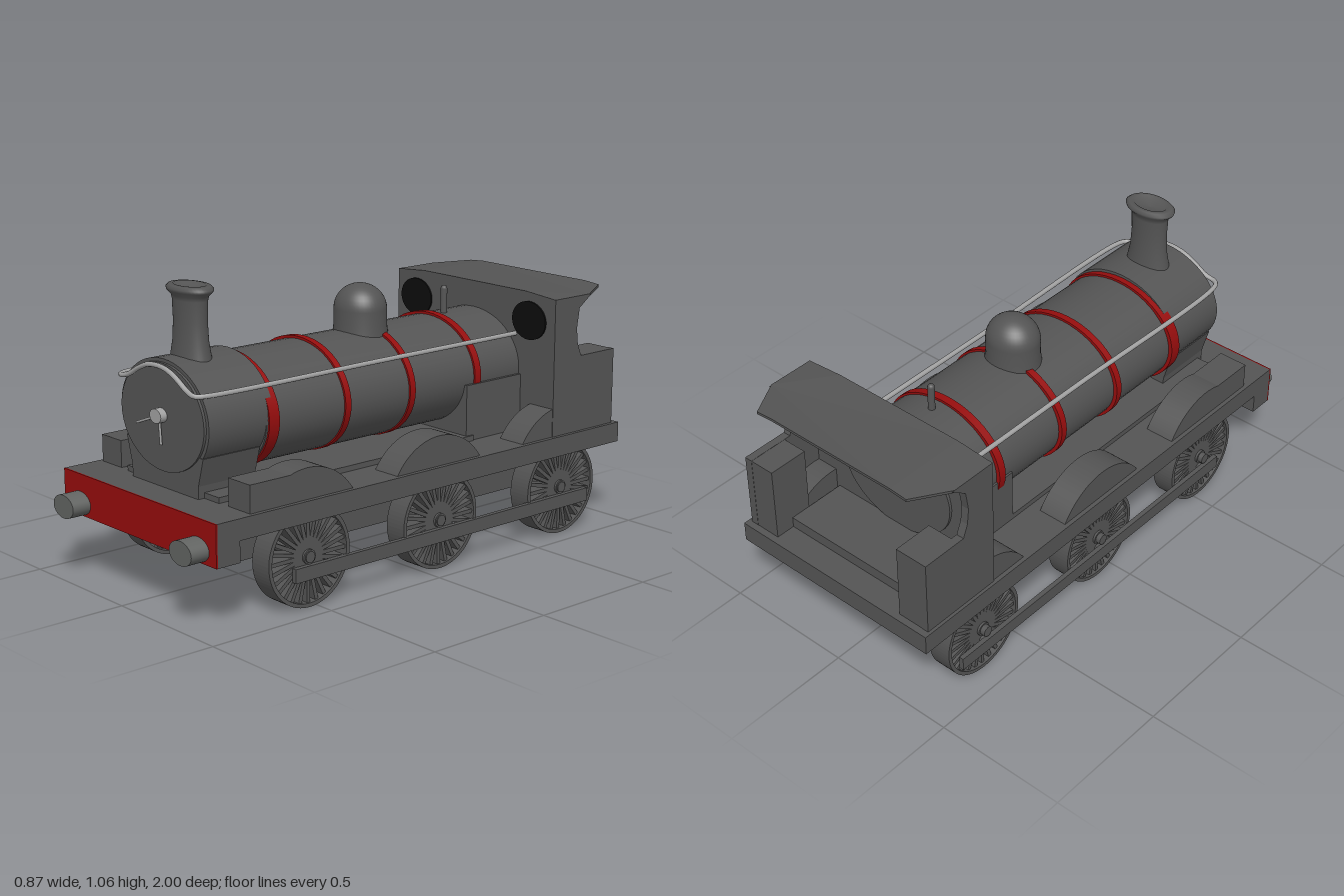
import * as THREE from 'three';

const mat = (name, color) => {
  const m = new THREE.MeshStandardMaterial({ color });
  m.name = name;
  return m;
};

export function createModel() {
  const grey = mat('body grey', 0x545454);
  const red = mat('trim red', 0x960d0d);
  const black = mat('window black', 0x0c0c0c);
  const steel = mat('bright steel', 0xa2a2a2);
  const bufferGrey = mat('buffer grey', 0x626462);
  const model = new THREE.Group();
  model.name = 'steamLocomotive';

  const add = (name, geo, material = grey, x = 0, y = 0, z = 0, parent = model) => {
    const mesh = new THREE.Mesh(geo, material);
    mesh.name = name;
    mesh.position.set(x, y, z);
    parent.add(mesh);
    return mesh;
  };
  // Box given by its limits on each axis
  const box = (name, x0, x1, y0, y1, z0, z1, material = grey) =>
    add(name, new THREE.BoxGeometry(x1 - x0, y1 - y0, z1 - z0), material,
      (x0 + x1) / 2, (y0 + y1) / 2, (z0 + z1) / 2);
  // Elliptical cylinder lying along z
  const barrel = (name, rx, ry, z0, z1, x, y, material = grey) => {
    const g = new THREE.CylinderGeometry(1, 1, z1 - z0, 48);
    g.rotateX(Math.PI / 2).scale(rx, ry, 1);
    return add(name, g, material, x, y, (z0 + z1) / 2);
  };
  const shapeOf = (pts) => new THREE.Shape(pts.map((p) => new THREE.Vector2(...p)));
  // Extrude a (z, y) profile between two x values
  const sideExtrude = (name, shape, x0, x1) => {
    const g = new THREE.ExtrudeGeometry(shape, { depth: x1 - x0, bevelEnabled: false, curveSegments: 24 });
    g.rotateY(-Math.PI / 2);
    return add(name, g, grey, x1, 0, 0);
  };
  const lathe = (pts) => new THREE.LatheGeometry(pts.map((p) => new THREE.Vector2(...p)), 40);

  // Chassis
  box('footplate', -0.432, 0.432, 0.3, 0.375, -1, 0.92);
  box('bufferBeam', -0.432, 0.432, 0.225, 0.375, 0.83, 0.922);
  box('bufferBeamFace', -0.432, 0.432, 0.225, 0.375, 0.922, 0.928, red);
  box('frame', -0.257, 0.257, 0.155, 0.3, -0.88, 0.73);
  for (const s of [-1, 1]) barrel('buffer', 0.06, 0.042, 0.92, 1, s * 0.335, 0.27, bufferGrey);

  // Wheels with spokes, axles and coupling rods
  const wheelZ = [0.53, -0.075, -0.695];
  const R = 0.177;
  const ring = new THREE.Shape().absarc(0, 0, R, 0, Math.PI * 2);
  ring.holes.push(new THREE.Path().absarc(0, 0, 0.163, 0, Math.PI * 2, true));
  const rimGeo = new THREE.ExtrudeGeometry(ring, { depth: 0.087, bevelEnabled: false, curveSegments: 40 });
  rimGeo.translate(0, 0, -0.0435).rotateY(Math.PI / 2);
  const hubGeo = new THREE.CylinderGeometry(0.026, 0.026, 0.087, 20).rotateZ(Math.PI / 2);
  const spokeGeo = new THREE.BoxGeometry(0.05, 0.15, 0.014).translate(0, 0.092, 0);
  const axleGeo = new THREE.CylinderGeometry(0.02, 0.02, 0.86, 16).rotateZ(Math.PI / 2);
  const pinGeo = new THREE.CylinderGeometry(0.016, 0.016, 0.05, 12).rotateZ(Math.PI / 2);
  for (const z of wheelZ) {
    add('axle', axleGeo, grey, 0, R, z);
    for (const s of [-1, 1]) {
      const wheel = new THREE.Group();
      wheel.name = 'wheel';
      wheel.position.set(s * 0.375 + 0.007, R, z);
      model.add(wheel);
      add('rim', rimGeo, grey, 0, 0, 0, wheel);
      add('hub', hubGeo, grey, 0, 0, 0, wheel);
      for (let i = 0; i < 28; i++) {
        add('spoke', spokeGeo, grey, s * 0.01, 0, 0, wheel).rotation.x = (i / 28) * Math.PI * 2;
      }
      add('crankPin', pinGeo, grey, s * 0.41, 0.126, z);
    }
  }
  for (const s of [-1, 1]) {
    box('couplingRod', s * 0.428 - 0.009, s * 0.428 + 0.009, 0.1, 0.15, -0.83, 0.6);
  }

  // Splashers over the wheels, with a sand box ahead of the front pair
  const half = Math.asin(0.2 / 0.237);
  for (const s of [-1, 1]) {
    const [x0, x1] = s > 0 ? [0.302, 0.416] : [-0.416, -0.302];
    for (const z of wheelZ) {
      const arc = new THREE.Shape();
      arc.absarc(z, 0.248, 0.237, Math.PI / 2 - half, Math.PI / 2 + half);
      arc.closePath();
      sideExtrude('splasher', arc, x0, x1);
    }
    box('sandBox', x0, x1, 0.375, 0.473, 0.57, 0.775);
  }

  // Boiler, smokebox, saddle and firebox
  const cx = -0.006;
  barrel('boiler', 0.246, 0.197, -0.68, 0.56, cx, 0.606);
  barrel('smokebox', 0.246, 0.2, 0.53, 0.802, cx, 0.623);
  barrel('smokeboxDoor', 0.232, 0.188, 0.8, 0.812, cx, 0.623);
  const saddle = shapeOf([[-0.185, 0.375], [0.185, 0.375], [0.187, 0.42], [0.215, 0.52], [-0.215, 0.52], [-0.187, 0.42]]);
  add('saddle', new THREE.ExtrudeGeometry(saddle, { depth: 0.24, bevelEnabled: false }), grey, cx, 0, 0.565);
  box('boilerBase', -0.258, 0.258, 0.375, 0.395, -0.4, 0.78);
  box('firebox', -0.258, 0.25, 0.375, 0.585, -0.66, -0.37);
  for (const [z, w] of [[0.53, 0.045], [0.2, 0.026], [-0.105, 0.026], [-0.43, 0.03]]) {
    barrel('boilerBand', 0.257, 0.204, z - w / 2, z + w / 2, -0.01, 0.608, red);
  }

  // Chimney, dome and whistle
  const chimney = lathe([[0.095, 0.77], [0.087, 0.82], [0.077, 0.87], [0.073, 0.94], [0.076, 1.01], [0.08, 1.025],
    [0.098, 1.04], [0.102, 1.05], [0.09, 1.06], [0.07, 1.062], [0.058, 1.05], [0, 1.045]]);
  add('chimney', chimney.scale(1, 1, 0.66), grey, cx, 0, 0.685);
  const domePts = [[0.108, 0.76], [0.101, 0.82]];
  for (let i = 0; i <= 10; i++) {
    const a = (i / 10) * Math.PI / 2;
    domePts.push([0.101 * Math.cos(a), 0.875 + 0.092 * Math.sin(a)]);
  }
  add('dome', lathe(domePts).scale(1, 1, 0.92), grey, cx, 0, -0.078);
  add('whistle', new THREE.CapsuleGeometry(0.013, 0.1, 4, 12), grey, 0, 0.843, -0.49);

  // Handrail running round the smokebox front
  const front = [[-0.215, 0.735], [-0.17, 0.745], [-0.11, 0.778], [-0.06, 0.798], [0, 0.804],
    [0.05, 0.798], [0.1, 0.778], [0.16, 0.745], [0.2, 0.735]];
  const rail = new THREE.CatmullRomCurve3([
    new THREE.Vector3(-0.235, 0.735, -0.65), new THREE.Vector3(-0.235, 0.735, 0), new THREE.Vector3(-0.235, 0.735, 0.8),
    ...front.map(([x, y]) => new THREE.Vector3(x, y, 0.828)),
    new THREE.Vector3(0.218, 0.735, 0.8), new THREE.Vector3(0.218, 0.735, 0), new THREE.Vector3(0.218, 0.735, -0.65),
  ]);
  add('handrail', new THREE.TubeGeometry(rail, 240, 0.009, 8), steel);

  // Door knob and two handles
  barrel('doorKnob', 0.032, 0.025, 0.81, 0.838, -0.008, 0.63, steel);
  for (const [x, y] of [[-0.135, 0.582], [0, 0.53]]) {
    const path = new THREE.LineCurve3(new THREE.Vector3(-0.008, 0.63, 0.822), new THREE.Vector3(x, y, 0.822));
    add('doorHandle', new THREE.TubeGeometry(path, 1, 0.005, 6), steel);
  }

  // Cab front with round windows
  const sheet = shapeOf([[-0.42, 0.375], [0.418, 0.375], [0.418, 0.885], [0.28, 0.897], [-0.27, 0.897], [-0.42, 0.885]]);
  add('cabFront', new THREE.ExtrudeGeometry(sheet, { depth: 0.02, bevelEnabled: false }), grey, 0, 0, -0.67);
  for (const x of [-0.313, 0.29]) barrel('cabWindow', 0.084, 0.072, -0.651, -0.644, x, 0.795, black);

  // Cab sides with cutaway rear edge, and side bunkers
  const side = shapeOf([[-0.65, 0.375], [-0.65, 0.885], [-0.84, 0.887], [-0.78, 0.845], [-0.768, 0.77],
    [-0.775, 0.71], [-0.795, 0.663], [-0.975, 0.663], [-0.975, 0.375]]);
  for (const s of [-1, 1]) {
    const [x0, x1] = s > 0 ? [0.388, 0.418] : [-0.42, -0.39];
    sideExtrude('cabSide', side, x0, x1);
    box('bunker', Math.min(s * 0.29, s * 0.417), Math.max(s * 0.29, s * 0.417), 0.375, 0.662, -0.974, -0.82);
  }
  box('cabFloor', -0.29, 0.29, 0.375, 0.415, -0.9, -0.66);

  // Roof with clipped rear corners and drooping edges
  const plan = shapeOf([[-0.42, 0.65], [-0.27, 0.65], [0.27, 0.65], [0.418, 0.65], [0.418, 0.83],
    [0.34, 0.968], [0.27, 0.968], [-0.27, 0.968], [-0.34, 0.968], [-0.42, 0.83]]);
  const roof = new THREE.ExtrudeGeometry(plan, { depth: 0.01, bevelEnabled: false }).rotateX(-Math.PI / 2);
  const p = roof.attributes.position;
  for (let i = 0; i < p.count; i++) {
    p.setY(i, p.getY(i) - 0.012 * Math.max(0, (Math.abs(p.getX(i)) - 0.27) / 0.15));
  }
  roof.computeVertexNormals();
  add('cabRoof', roof, grey, 0, 0.892, 0);

  return model;
}
